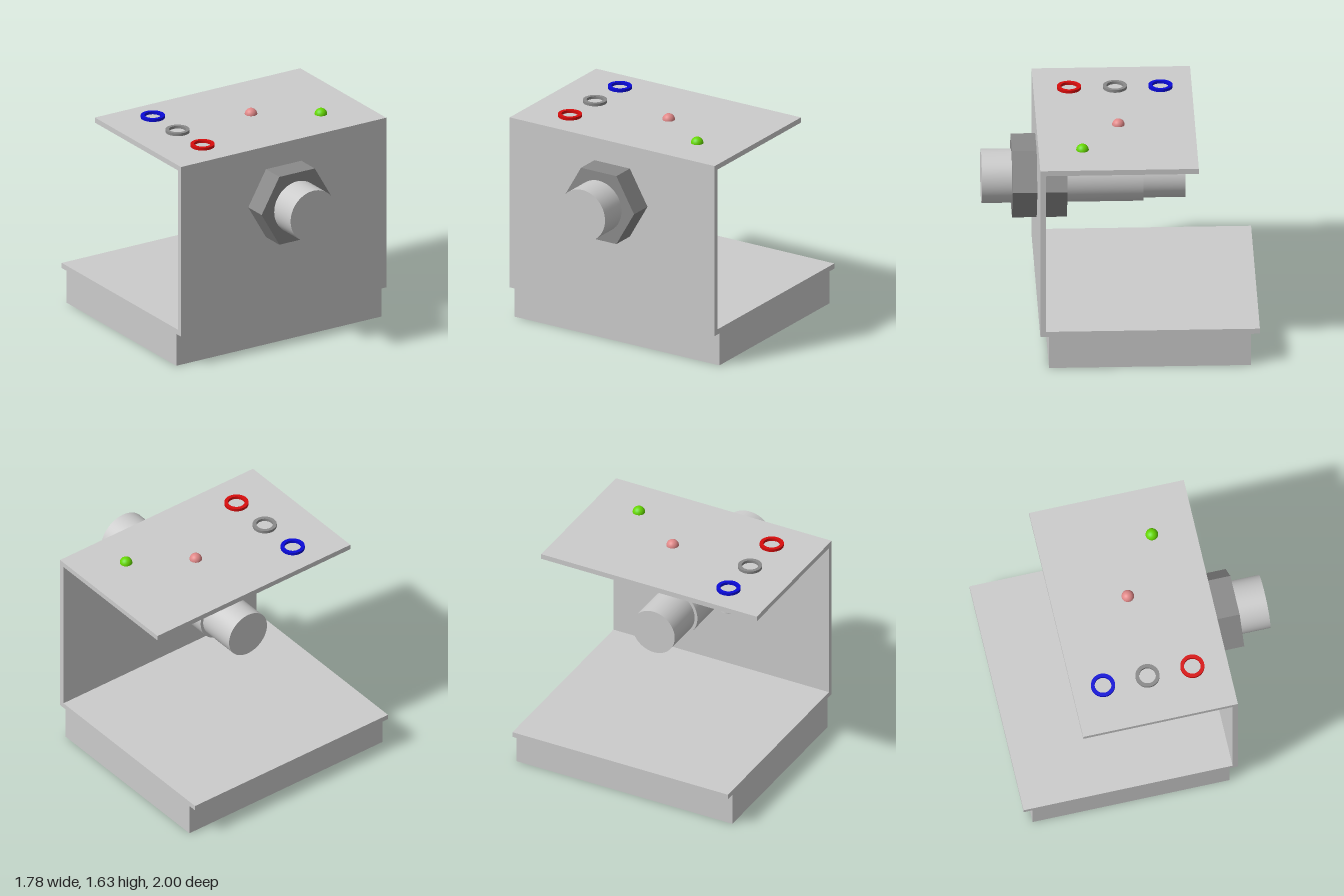
import * as THREE from 'three';

const material = (name, color) => {
  const m = new THREE.MeshStandardMaterial({ color });
  m.name = name;
  return m;
};

export function createModel() {
  const model = new THREE.Group();
  model.name = 'sensorBracket';
  const steel = material('lightGrey', 0xcbcbcb);
  const darkSteel = material('midGrey', 0x8a8a8a);
  const red = material('red', 0xd80c0c);
  const blue = material('blue', 0x0a0ad8);
  const pink = material('pink', 0xe08888);
  const green = material('green', 0x66d800);

  const add = (name, geometry, mat, x = 0, y = 0, z = 0) => {
    const mesh = new THREE.Mesh(geometry, mat);
    mesh.name = name;
    mesh.position.set(x, y, z);
    model.add(mesh);
    return mesh;
  };

  const width = 1.78;

  // Base block
  add('base', new THREE.BoxGeometry(width, 0.25, 1.47), steel, 0, 0.125, -0.198);

  // Bent sheet bracket: side profile (z, y) extruded across the width
  const profile = new THREE.Shape([
    [-1, 0.25], [0.6, 0.25], [0.6, 1.58], [-0.555, 1.58],
    [-0.555, 1.54], [0.56, 1.54], [0.56, 0.29], [-1, 0.29],
  ].map(([z, y]) => new THREE.Vector2(z, y)));
  const sheet = new THREE.ExtrudeGeometry(profile, { depth: width, bevelEnabled: false });
  sheet.translate(0, 0, -width / 2).rotateY(-Math.PI / 2);
  add('bracket', sheet, steel);

  // Sensor barrel along z, with a narrower rear end
  const axisY = 1.137;
  const barrel = (name, radius, z0, z1) => {
    const g = new THREE.CylinderGeometry(radius, radius, z1 - z0, 64).rotateX(Math.PI / 2);
    add(name, g, steel, 0, axisY, (z0 + z1) / 2);
  };
  barrel('sensorBarrel', 0.198, -0.178, 1);
  barrel('sensorRear', 0.175, -0.485, -0.178);

  // Hexagonal nut clamping the wall, corners pointing sideways
  const hex = new THREE.CylinderGeometry(0.307, 0.307, 0.4, 6)
    .rotateY(Math.PI / 6).rotateX(Math.PI / 2).toNonIndexed();
  hex.computeVertexNormals();
  add('hexNut', hex, darkSteel, 0, axisY, 0.58);

  // Three sockets: coloured collar above the plate, pin through it
  const collarShape = new THREE.Shape().absarc(0, 0, 0.088, 0, Math.PI * 2);
  collarShape.holes.push(new THREE.Path().absarc(0, 0, 0.061, 0, Math.PI * 2, true));
  const collar = new THREE.ExtrudeGeometry(collarShape, {
    depth: 0.022, bevelEnabled: false, curveSegments: 40,
  }).rotateX(-Math.PI / 2);
  const pin = new THREE.CylinderGeometry(0.056, 0.056, 0.182, 40);
  for (const [name, mat, z] of [['red', red, 0.34], ['grey', darkSteel, 0.005], ['blue', blue, -0.327]]) {
    add(name + 'SocketCollar', collar, mat, -0.535, 1.579, z);
    add(name + 'SocketPin', pin, steel, -0.535, 1.492, z);
  }

  // Indicator lamps: domes on the top plate
  const dome = new THREE.SphereGeometry(0.046, 32, 12, 0, Math.PI * 2, 0, Math.PI / 2);
  add('pinkLamp', dome, pink, 0.103, 1.58, 0.003);
  add('greenLamp', dome, green, 0.53, 1.58, 0.28);

  return model;
}
